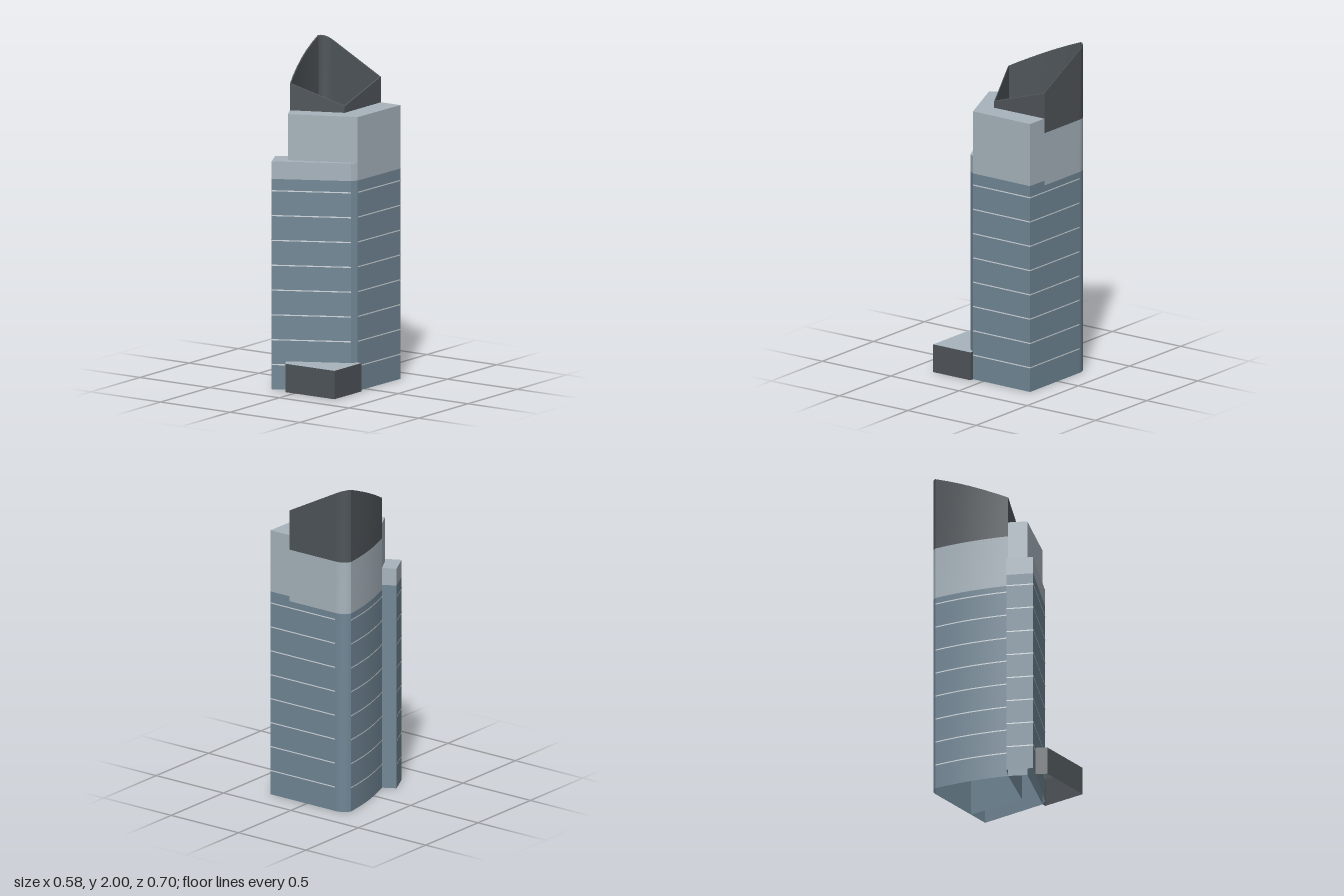
import * as THREE from 'three';
import { toCreasedNormals } from 'three/addons/utils/BufferGeometryUtils.js';

const mat = (name, color) => {
  const m = new THREE.MeshStandardMaterial({ color, side: THREE.DoubleSide });
  m.name = name;
  return m;
};

// Ribbon of quads between two rows of [x, y, z] points
function strip(low, high) {
  const pos = [];
  for (let i = 0; i < low.length - 1; i++) {
    const [a, b, c, d] = [low[i], low[i + 1], high[i + 1], high[i]];
    pos.push(...a, ...b, ...c, ...a, ...c, ...d);
  }
  const g = new THREE.BufferGeometry();
  g.setAttribute('position', new THREE.Float32BufferAttribute(pos, 3));
  return toCreasedNormals(g, 0.45);
}

// Lifts a plan path [x, z] to a height, or to a height rule
const lift = (path, y) => path.map(([x, z]) => [x, typeof y === 'function' ? y(x, z) : y, z]);
const wall = (path, y0, y1) => strip(lift(path, y0), lift(path, y1));

// Moves a plan path sideways with mitred corners; positive is outward
function offset(path, d, closed = false) {
  const n = path.length;
  const normal = (i) => {
    const [a, b] = [path[i], path[i + 1]];
    const l = Math.hypot(b[0] - a[0], b[1] - a[1]);
    return [-(b[1] - a[1]) / l, (b[0] - a[0]) / l];
  };
  return path.map(([x, z], i) => {
    const p = normal(i > 0 ? i - 1 : closed ? n - 2 : 0);
    const q = normal(i < n - 1 ? i : closed ? 0 : n - 2);
    const k = d / (1 + p[0] * q[0] + p[1] * q[1]);
    return [x + (p[0] + q[0]) * k, z + (p[1] + q[1]) * k];
  });
}

// Flat roof over a plan polygon
function roof(points, y) {
  const shape = new THREE.Shape(points.map(([x, z]) => new THREE.Vector2(x, -z)));
  return new THREE.ShapeGeometry(shape).rotateX(-Math.PI / 2).translate(0, y, 0);
}

export function createModel() {
  const model = new THREE.Group();
  model.name = 'tower';
  const glass = mat('blue glass', 0x718796);
  const stone = mat('pale grey', 0xa8b4bd);
  const dark = mat('charcoal', 0x4f555a);
  const line = mat('floor line', 0xd3dade);

  const group = (name) => {
    const g = new THREE.Group();
    g.name = name;
    model.add(g);
    return g;
  };
  const add = (parent, name, geometry, material) => {
    const m = new THREE.Mesh(geometry, material);
    m.name = name;
    parent.add(m);
  };

  // Plan paths, running with the outside on the right
  const west = [-0.175, 0.145];
  const east = [0.262, 0.075];
  const backJoint = [0.13, -0.348];
  const innerCorner = [0.13, 0.02];
  const backEdge = [backJoint, [-0.21, -0.348]];
  const roundCorner = [[-0.222, -0.348], [-0.246, -0.343], [-0.266, -0.333], [-0.281, -0.318]];
  const curvedSide = [[-0.29, -0.3], [-0.28, -0.228], [-0.265, -0.145], [-0.247, -0.07],
    [-0.225, 0.005], [-0.2, 0.08], west];
  const core = [west, innerCorner, ...backEdge, ...roundCorner, ...curvedSide];
  const wing = [west, [-0.12, 0.243], east, [0.27, -0.348], backJoint];
  const slab = [west, [-0.25, 0.187], [-0.178, 0.328], [0.24, 0.11], east];
  const podium = [[-0.102, 0.289], [-0.065, 0.348], [0.287, 0.348], [0.289, 0.075], east];

  // Curved core
  const coreGroup = group('core');
  add(coreGroup, 'coreGlass', wall(core, 0, 1.23), glass);
  add(coreGroup, 'coreBand', wall(core, 1.23, 1.55), stone);

  // L-shaped wing and the lower front slab
  const wingGroup = group('wing');
  add(wingGroup, 'wingGlass', wall(wing, 0, 1.26), glass);
  add(wingGroup, 'wingBand', wall(wing, 1.26, 1.64), stone);
  add(wingGroup, 'wingRoof', roof([...wing, innerCorner], 1.64), stone);

  const slabGroup = group('frontSlab');
  add(slabGroup, 'slabGlass', wall(slab, 0, 1.26), glass);
  add(slabGroup, 'slabBand', wall(slab, 1.26, 1.365), stone);
  add(slabGroup, 'slabRoof', roof([...slab, wing[1]], 1.365), stone);

  // Entrance podium
  const podiumGroup = group('podium');
  add(podiumGroup, 'podiumWalls', wall(podium, 0, 0.17), dark);
  add(podiumGroup, 'podiumRoof', roof([...podium, slab[3]], 0.17), stone);

  // Hollow crown cut by a sloping plane
  const slope = (x, z) => 1.793 - 0.525 * (x - 0.13) - 0.31 * (z + 0.348);
  const inner = offset(core, -0.006, true);
  const crown = group('crown');
  add(crown, 'crownOuterWall', wall(core, 1.55, slope), dark);
  add(crown, 'crownInnerWall', wall([...inner].reverse(), 1.55, slope), dark);
  add(crown, 'crownRim', strip(lift(core, slope), lift(inner, slope)), dark);
  add(crown, 'crownUnderside', strip(lift(inner, 1.55), lift(core, 1.55)), dark);

  // Thin floor lines on the main faces
  const lines = group('floorLines');
  const faces = [backEdge, curvedSide, wing.slice(2), slab.slice(1, 4)].map((p) => offset(p, 0.0015));
  for (let i = 1; i <= 8; i++) {
    const y = i * 0.1487;
    for (const face of faces) add(lines, 'floorLine', wall(face, y - 0.0035, y + 0.0035), line);
  }
  return model;
}
